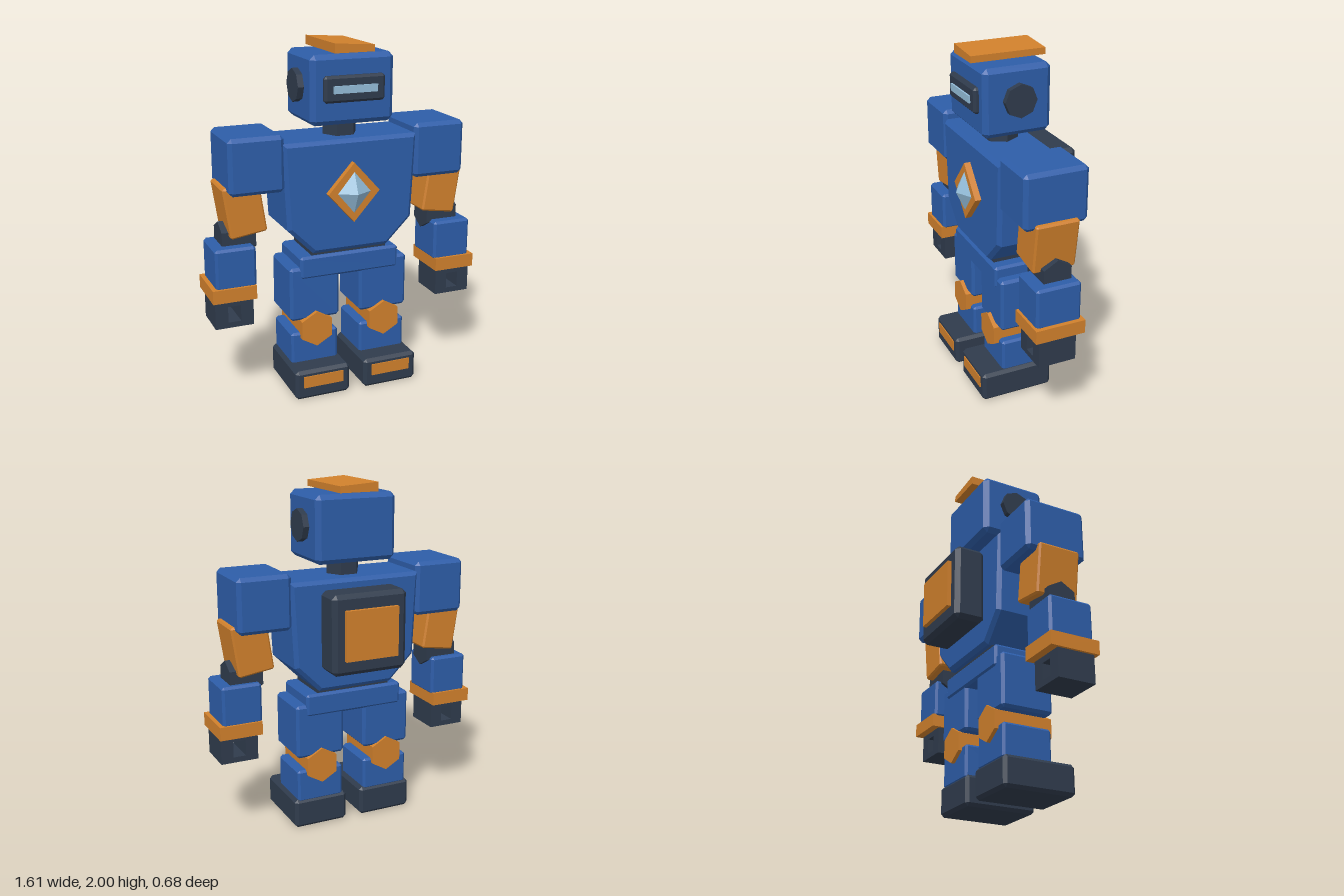
import * as THREE from 'three';
import { ConvexGeometry } from 'three/addons/geometries/ConvexGeometry.js';

const paint = (color) => new THREE.MeshStandardMaterial({ color, flatShading: true });

// Box with every edge cut by a single flat chamfer
function chamferBox(w, h, d, c) {
  const points = [];
  for (const x of [-1, 1]) for (const y of [-1, 1]) for (const z of [-1, 1]) {
    const [a, b, e] = [w / 2, h / 2, d / 2];
    points.push(
      new THREE.Vector3(x * a, y * (b - c), z * (e - c)),
      new THREE.Vector3(x * (a - c), y * b, z * (e - c)),
      new THREE.Vector3(x * (a - c), y * (b - c), z * e));
  }
  return new ConvexGeometry(points);
}

const outline = (points) => new THREE.Shape(points.map(([x, y]) => new THREE.Vector2(x, y)));

// Outline in x/y extruded from z0 to z1, with an optional one-step bevel kept inside the outline
function slab(shape, z0, z1, bevel = 0) {
  return new THREE.ExtrudeGeometry(shape, {
    depth: z1 - z0 - 2 * bevel, bevelEnabled: bevel > 0, bevelSegments: 1,
    bevelSize: bevel, bevelThickness: bevel, bevelOffset: -bevel,
  }).translate(0, 0, z0 + bevel);
}

export function createModel() {
  const model = new THREE.Group();
  model.name = 'robot';
  const blue = paint(0x2d5da8), orange = paint(0xd0802c), dark = paint(0x2f3b4c), glass = paint(0x93bcd8);

  function add(parent, name, geometry, material, x = 0, y = 0, z = 0) {
    const mesh = new THREE.Mesh(geometry, material);
    mesh.name = name;
    mesh.position.set(x, y, z);
    parent.add(mesh);
    return mesh;
  }

  // Box given by its limits on each axis
  function block(parent, name, material, [x0, x1], [y0, y1], [z0, z1], chamfer = 0) {
    const [w, h, d] = [x1 - x0, y1 - y0, z1 - z0];
    const geometry = chamfer ? chamferBox(w, h, d, chamfer) : new THREE.BoxGeometry(w, h, d);
    return add(parent, name, geometry, material, (x0 + x1) / 2, (y0 + y1) / 2, (z0 + z1) / 2);
  }

  // Head: visor, ears and the sloped crest
  const head = new THREE.Group();
  head.name = 'head';
  model.add(head);
  block(head, 'skull', blue, [-0.243, 0.243], [1.56, 1.94], [-0.14, 0.255], 0.027);
  block(head, 'visor', dark, [-0.177, 0.177], [1.685, 1.83], [0.22, 0.283], 0.014);
  block(head, 'eyeSlit', glass, [-0.127, 0.127], [1.737, 1.778], [0.26, 0.293]);
  add(head, 'ears', new THREE.CylinderGeometry(0.093, 0.093, 0.556, 8).rotateZ(Math.PI / 2), dark, 0, 1.76, 0.055);
  add(head, 'crest', slab(outline([[-0.115, 1.948], [0.115, 1.948], [0.115, 1.985], [-0.115, 2]]), -0.163, 0.272), orange);
  block(head, 'crestBase', blue, [-0.05, 0.05], [1.92, 1.95], [-0.1, 0.2]);
  add(model, 'neck', new THREE.CylinderGeometry(0.1, 0.1, 0.16, 6).rotateY(Math.PI / 6), dark, 0, 1.51, 0.055);

  // Torso, tapering to the waist
  add(model, 'torso', slab(outline([
    [-0.225, 0.835], [0.225, 0.835], [0.375, 0.985], [0.4, 1.475], [-0.4, 1.475], [-0.375, 0.985],
  ]), -0.133, 0.238, 0.022), blue);
  block(model, 'waist', dark, [-0.228, 0.228], [0.77, 0.86], [-0.09, 0.2]);
  block(model, 'pelvis', blue, [-0.3, 0.3], [0.685, 0.817], [-0.11, 0.222], 0.014);

  // Chest badge with a faceted gem
  add(model, 'chestDiamond', slab(outline([[0, -0.17], [0.153, 0], [0, 0.17], [-0.153, 0]]), 0.22, 0.275), orange, 0, 1.18);
  add(model, 'chestGem', new THREE.OctahedronGeometry(1).scale(0.098, 0.117, 0.053), glass, 0, 1.18, 0.275);

  // Backpack
  block(model, 'backpack', dark, [-0.227, 0.227], [0.967, 1.425], [-0.313, -0.13], 0.025);
  block(model, 'backpackPanel', orange, [-0.16, 0.16], [1.055, 1.34], [-0.337, -0.3]);

  // Limbs, mirrored; lower and upper x limits are for the left (+x) side
  for (const side of [1, -1]) {
    const label = side > 0 ? 'left' : 'right';
    const span = (a, b) => (side > 0 ? [a, b] : [-b, -a]);

    const arm = new THREE.Group();
    arm.name = label + 'Arm';
    model.add(arm);
    block(arm, 'shoulder', blue, span(0.387, 0.7), [1.212, 1.527], [-0.132, 0.238], 0.022);
    const upperArm = block(arm, 'upperArm', orange, span(0.495, 0.705), [0.973, 1.263], [-0.07, 0.18], 0.01);
    upperArm.rotation.z = -0.147 * side;
    add(arm, 'elbow', new THREE.CylinderGeometry(0.093, 0.093, 0.195, 6).rotateY(Math.PI / 2).rotateX(Math.PI / 2)
      .rotateY(Math.PI / 2).rotateX(Math.PI / 6), dark, 0.627 * side, 0.943, 0.055);
    block(arm, 'forearm', blue, span(0.55, 0.782), [0.68, 0.915], [-0.06, 0.202], 0.014);
    block(arm, 'cuff', orange, span(0.557, 0.807), [0.615, 0.693], [-0.073, 0.217]);

    // Fist with a square grip hole running front to back
    const fist = outline([[-0.11, 0.455], [0.11, 0.455], [0.11, 0.64], [-0.11, 0.64]]);
    fist.holes.push(outline([[-0.037, 0.487], [-0.037, 0.58], [0.037, 0.58], [0.037, 0.487]]));
    add(arm, 'hand', slab(fist, -0.027, 0.192), dark, 0.682 * side);

    const leg = new THREE.Group();
    leg.name = label + 'Leg';
    model.add(leg);
    block(leg, 'thigh', blue, span(0.063, 0.36), [0.435, 0.753], [-0.1, 0.212], 0.016);
    add(leg, 'knee', new THREE.CylinderGeometry(0.105, 0.105, 0.35, 6).rotateX(Math.PI / 2), orange, 0.21 * side, 0.38, 0.06);
    block(leg, 'shin', blue, span(0.07, 0.353), [0.16, 0.355], [-0.093, 0.202], 0.013);
    block(leg, 'foot', dark, span(0.045, 0.375), [0, 0.175], [-0.1, 0.333], 0.018);
    block(leg, 'toePlate', orange, span(0.09, 0.33), [0.075, 0.143], [0.3, 0.339]);
  }
  return model;
}
